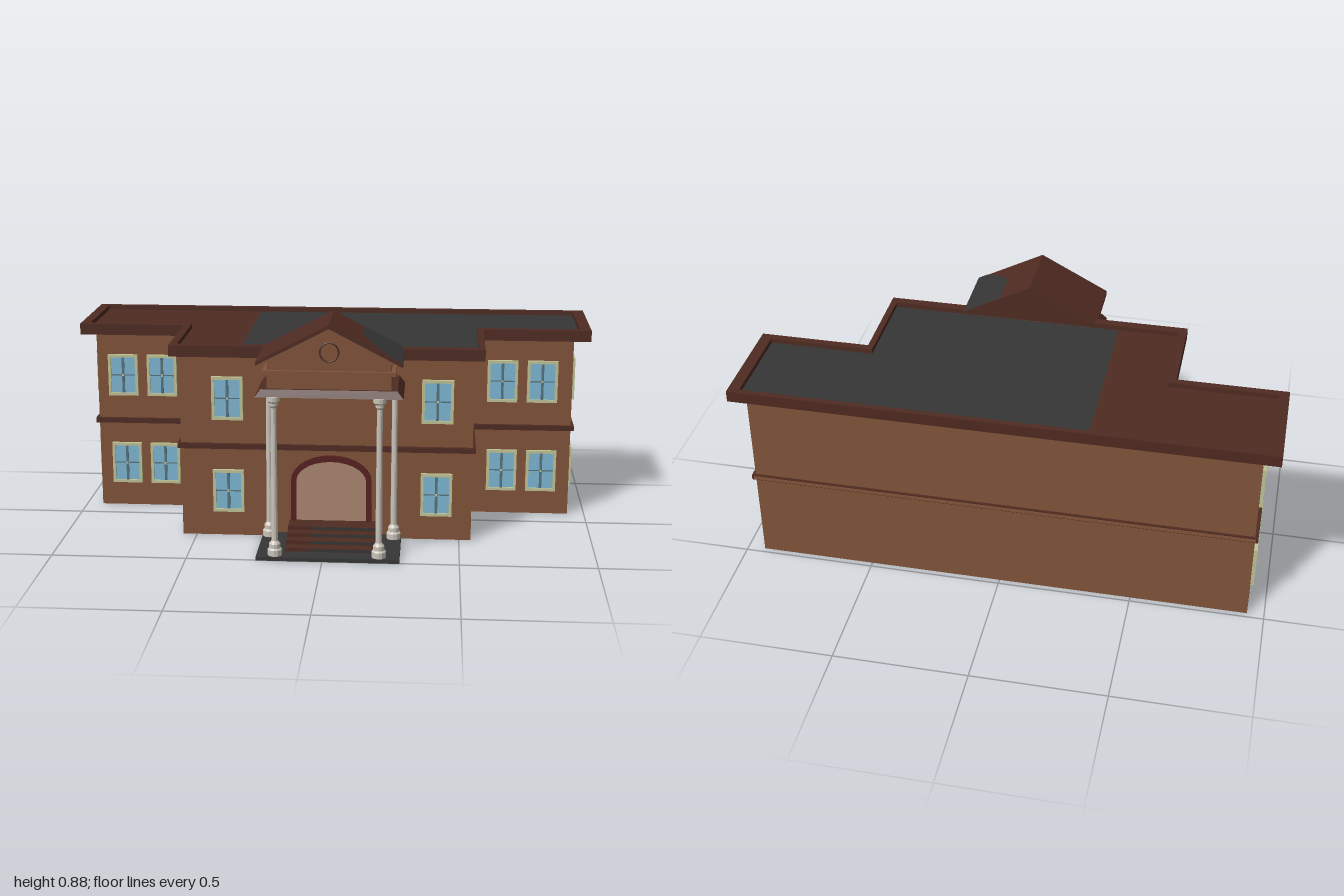
import * as THREE from 'three';

const mat = (name, color) => {
  const m = new THREE.MeshStandardMaterial({ color });
  m.name = name;
  return m;
};

export function createModel() {
  const wall = mat('brown wall', 0x82543a);
  const trim = mat('dark brown trim', 0x4f2b22);
  const slate = mat('dark grey roofing', 0x363636);
  const glass = mat('blue glass', 0x7fb9d4);
  const frame = mat('pale green frame', 0xc2c597);
  const bar = mat('grey glazing bar', 0x587480);
  const door = mat('tan door', 0xad8872);
  const archRed = mat('dark red arch', 0x58201f);
  const stone = mat('pale stone', 0xcbc5ba);

  const model = new THREE.Group();
  model.name = 'house';

  const add = (parent, name, geo, material) => {
    const mesh = new THREE.Mesh(geo, material);
    mesh.name = name;
    parent.add(mesh);
    return mesh;
  };
  // box given by its limits
  const box = (parent, name, material, x0, x1, y0, y1, z0, z1) => {
    const m = add(parent, name, new THREE.BoxGeometry(x1 - x0, y1 - y0, z1 - z0), material);
    m.position.set((x0 + x1) / 2, (y0 + y1) / 2, (z0 + z1) / 2);
    return m;
  };
  // plan polygon of [x, z] points, extruded upwards
  const plan = (pts) => pts.map(([x, z]) => new THREE.Vector2(x, -z));
  const slab = (name, material, pts, y0, y1, hole) => {
    const s = new THREE.Shape(plan(pts));
    if (hole) s.holes.push(new THREE.Path(plan(hole)));
    const g = new THREE.ExtrudeGeometry(s, { depth: y1 - y0, bevelEnabled: false });
    g.rotateX(-Math.PI / 2).translate(0, y0, 0);
    return add(model, name, g, material);
  };
  const prism = (parent, name, material, pts, z0, z1) => {
    const s = new THREE.Shape(pts.map(([x, y]) => new THREE.Vector2(x, y)));
    const g = new THREE.ExtrudeGeometry(s, { depth: z1 - z0, bevelEnabled: false });
    return add(parent, name, g.translate(0, 0, z0), material);
  };
  // T-shaped plan: wings x0..x1, back zb, wing front zw, centre c0..c1, centre front zc
  const tee = (x0, x1, zb, zw, c0, c1, zc) => [
    [x0, zw], [c0, zw], [c0, zc], [c1, zc], [c1, zw], [x1, zw], [x1, zb], [x0, zb]];

  // main body, string course, cornice
  slab('walls', wall, tee(-0.937, 0.934, -0.48, -0.104, -0.553, 0.545, 0.232), 0, 0.71);
  slab('stringCourse', trim, tee(-0.949, 0.946, -0.49, -0.092, -0.565, 0.557, 0.245), 0.345, 0.365);
  box(model, 'rearCourseFace', wall, -0.94, 0.937, 0.349, 0.361, -0.493, -0.489);
  const inner = tee(-0.963, 0.957, -0.48, -0.128, -0.56, 0.56, 0.222);
  slab('cornice', trim, tee(-1, 1, -0.502, -0.1, -0.588, 0.583, 0.258), 0.702, 0.745, inner);

  // flat roof in two coverings
  const split = -0.325;
  slab('roofBrownPart', trim, [[-0.963, -0.128], [-0.56, -0.128], [-0.56, 0.222],
    [split, 0.222], [split, -0.48], [-0.963, -0.48]], 0.703, 0.727);
  slab('roofGreyPart', slate, [[split, 0.222], [0.56, 0.222], [0.56, -0.128],
    [0.957, -0.128], [0.957, -0.48], [split, -0.48]], 0.703, 0.727);

  // windows, built facing +z
  const makeWindow = (x, y, z, turn) => {
    const g = new THREE.Group();
    g.name = 'window';
    const w = 0.059, h = 0.083, t = 0.011;
    for (const s of [-1, 1]) {
      const a = s * (w - t / 2), b = s * (h - t / 2);
      box(g, 'frameSide', frame, a - t / 2, a + t / 2, -h, h, -0.002, 0.013);
      box(g, 'frameRail', frame, -w + t, w - t, b - t / 2, b + t / 2, -0.002, 0.013);
    }
    box(g, 'glass', glass, -w + t, w - t, -h + t, h - t, -0.002, 0.005);
    box(g, 'mullion', bar, -0.005, 0.005, -h + t, h - t, 0.004, 0.009);
    box(g, 'transom', bar, -w + t, w - t, -0.002, 0.002, 0.004, 0.008);
    box(g, 'catch', frame, -0.004, 0.004, -0.004, 0.004, 0.008, 0.012);
    g.position.set(x, y, z);
    g.rotation.y = turn;
    model.add(g);
  };
  for (const [y, d] of [[0.541, 0], [0.179, 0.005]]) {
    for (const x of [-0.834, -0.679, 0.663, 0.818]) makeWindow(x + d, y, -0.104, 0);
    for (const x of [-0.374, 0.412]) makeWindow(x, y, 0.232, 0);
    for (const z of [-0.212, -0.367]) {
      makeWindow(0.934, y, z - d, Math.PI / 2);
      makeWindow(-0.937, y, z - d, -Math.PI / 2);
    }
  }

  // arched doorway
  const arch = (r, top, bottom) => {
    const pts = [[0.016 - r, bottom]];
    const spring = 0.225;
    for (let i = 0; i <= 14; i++) {
      const a = Math.PI * (1 - i / 14);
      pts.push([0.016 + r * Math.cos(a), spring + (top - spring) * Math.sin(a)]);
    }
    pts.push([0.016 + r, bottom]);
    return pts;
  };
  const outer = arch(0.152, 0.325, 0.06);
  const opening = arch(0.132, 0.302, 0.06);
  prism(model, 'doorSurround', archRed, [...outer, ...opening.reverse()], 0.23, 0.244);
  prism(model, 'door', door, arch(0.133, 0.303, 0.06), 0.23, 0.236);

  // platform and steps
  box(model, 'platform', slate, -0.243, 0.282, 0, 0.014, 0.2, 0.504);
  [0.438, 0.395, 0.353, 0.312].forEach((z, i) => {
    const y = 0.027 + i * 0.0135;
    box(model, 'step', trim, -0.142, 0.192, 0.01, y, 0.22, z);
    box(model, 'stepRiserPanel', slate, -0.055, 0.19, y - 0.011, y - 0.001, z - 0.001, z + 0.001);
  });

  // columns
  const profile = [[0, 0.012], [0.027, 0.012], [0.027, 0.036], [0.021, 0.042], [0.021, 0.058],
    [0.015, 0.066], [0.0125, 0.07], [0.0105, 0.572], [0.016, 0.58], [0.016, 0.59],
    [0.024, 0.597], [0.024, 0.614], [0, 0.614]].map(([r, y]) => new THREE.Vector2(r, y));
  const columnGeo = new THREE.LatheGeometry(profile, 12).toNonIndexed();
  columnGeo.computeVertexNormals();
  for (const [x, z] of [[-0.175, 0.473], [0.206, 0.473], [-0.215, 0.265], [0.254, 0.265]]) {
    add(model, 'column', columnGeo, stone).position.set(x, 0, z);
  }

  // portico entablature: flared eave, wall block and moulding
  const cx = 0.024;
  const eave = new THREE.BoxGeometry(0.532, 0.027, 0.27);
  const p = eave.attributes.position;
  for (let i = 0; i < p.count; i++) {
    if (p.getY(i) > 0) {
      p.setX(i, p.getX(i) * 0.92);
      if (p.getZ(i) > 0) p.setZ(i, p.getZ(i) - 0.014);
    }
  }
  eave.computeVertexNormals();
  add(model, 'porticoEave', eave, trim).position.set(cx, 0.6255, 0.353);
  box(model, 'porticoBlock', wall, -0.2, 0.246, 0.636, 0.745, 0.222, 0.462);
  box(model, 'porticoMoulding', wall, -0.215, 0.262, 0.692, 0.707, 0.225, 0.475);

  // gable: roof slopes, filled body, front face, ring
  const peak = 0.877, half = 0.262, slope = 0.52;
  const roofY = (x) => peak - Math.abs(x - cx) * slope;
  const low = peak - half * slope;
  prism(model, 'gableBody', trim, [[cx - half + 0.01, low - 0.01], [cx + half - 0.01, low - 0.01],
    [cx, peak - 0.008]], 0.217, 0.455);
  prism(model, 'gableFace', wall, [[cx - half + 0.02, low - 0.008], [cx + half - 0.02, low - 0.008],
    [cx, peak - 0.01]], 0.455, 0.463);
  prism(model, 'gableRoof', trim, [[cx - half, low], [cx - half, low - 0.014], [cx, peak - 0.014],
    [cx + half, low - 0.014], [cx + half, low], [cx, peak]], 0.217, 0.483);
  add(model, 'gableRing', new THREE.TorusGeometry(0.034, 0.003, 6, 24), trim)
    .position.set(cx, 0.775, 0.464);

  // grey covering on the left slope
  const patch = new THREE.ShapeGeometry(new THREE.Shape(plan([[0.14, 0.217], [0.14, 0.355],
    [0.155, 0.39], [0.185, 0.425], [0.22, 0.455], [0.25, 0.483], [cx + half, 0.483],
    [cx + half, 0.217]])));
  patch.rotateX(-Math.PI / 2);
  const q = patch.attributes.position;
  for (let i = 0; i < q.count; i++) q.setY(i, roofY(q.getX(i)) + 0.002);
  patch.computeVertexNormals();
  add(model, 'gableGreyCovering', patch, slate);
  box(model, 'gableGreyEdge', slate, cx + half - 0.002, cx + half + 0.001, low - 0.013, low + 0.001, 0.217, 0.483);

  return model;
}
